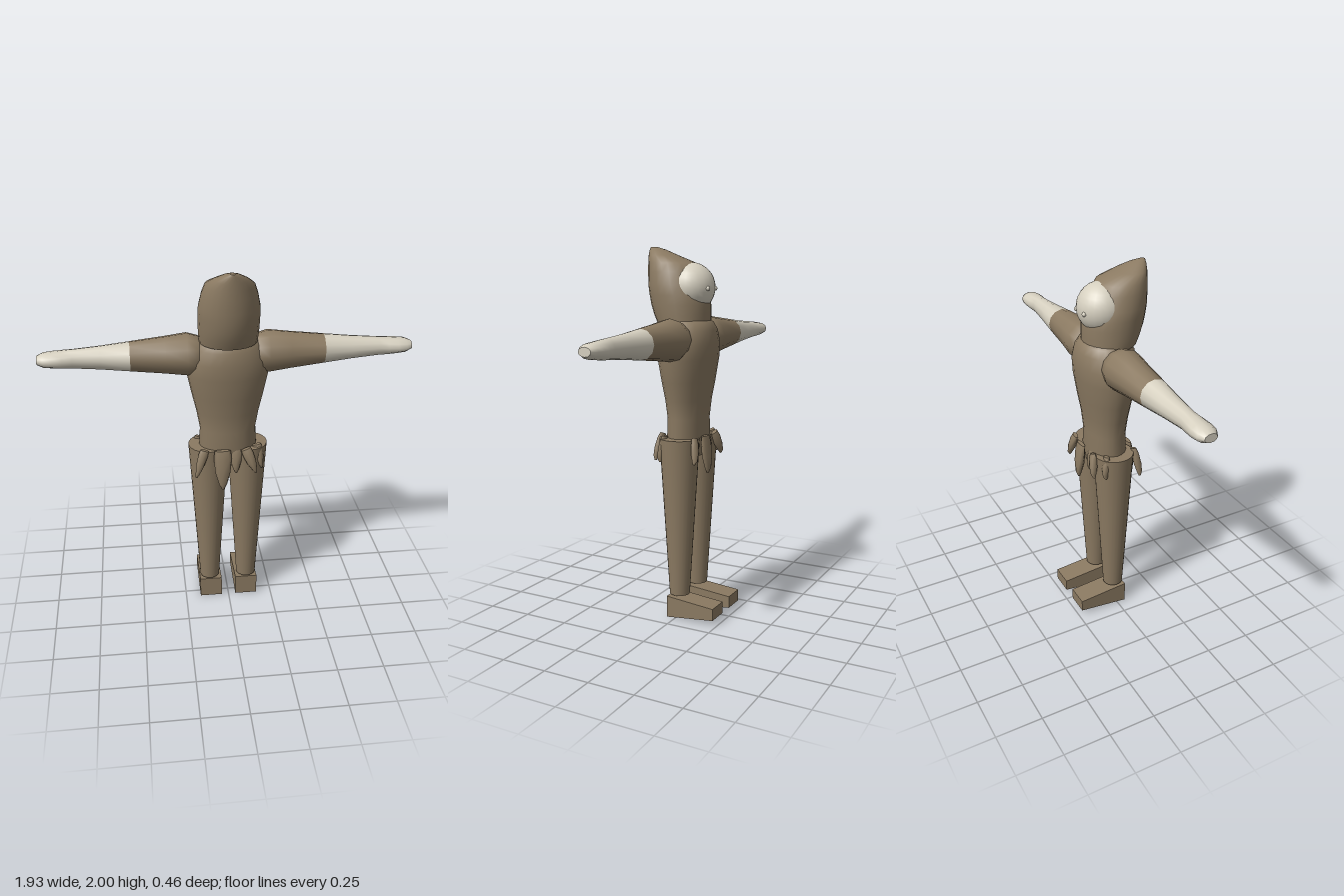
import * as THREE from 'three';

const brown = new THREE.MeshStandardMaterial({ color: 0x8b7a62 });
brown.name = 'brown cloth';
const pale = new THREE.MeshStandardMaterial({ color: 0xd6d0c0 });
pale.name = 'pale skin';

// Closed body through elliptical rings [y, half width x, half depth z, centre z]
function loft(rings, sides) {
  const pos = [], index = [];
  const addRing = ([y, rx, rz, cz = 0]) => {
    const start = pos.length / 3;
    for (let i = 0; i < sides; i++) {
      const a = (i / sides) * Math.PI * 2;
      pos.push(Math.cos(a) * rx, y, cz + Math.sin(a) * rz);
    }
    return start;
  };
  const starts = rings.map(addRing);
  for (let r = 0; r < rings.length - 1; r++) {
    for (let i = 0; i < sides; i++) {
      const j = (i + 1) % sides, b = starts[r], t = starts[r + 1];
      index.push(b + i, t + i, b + j, t + i, t + j, b + j);
    }
  }
  // End caps with their own corners, so the rims stay sharp
  [rings[0], rings[rings.length - 1]].forEach((ring, top) => {
    const s = addRing(ring), c = pos.length / 3;
    pos.push(0, ring[0], ring[3] || 0);
    for (let i = 0; i < sides; i++) {
      const j = (i + 1) % sides;
      index.push(c, s + (top ? j : i), s + (top ? i : j));
    }
  });
  const g = new THREE.BufferGeometry();
  g.setAttribute('position', new THREE.Float32BufferAttribute(pos, 3));
  g.setIndex(index);
  g.computeVertexNormals();
  return g;
}

export function createModel() {
  const model = new THREE.Group();
  const add = (name, geometry, material, x = 0, y = 0, z = 0, parent = model) => {
    const m = new THREE.Mesh(geometry, material);
    m.name = name;
    m.position.set(x, y, z);
    parent.add(m);
    return m;
  };

  // Torso
  add('torso', loft([
    [0.9, 0.14, 0.09], [1.0, 0.155, 0.105], [1.1, 0.15, 0.102], [1.2, 0.167, 0.112],
    [1.3, 0.19, 0.13], [1.42, 0.215, 0.148], [1.5, 0.215, 0.154], [1.57, 0.185, 0.145],
    [1.61, 0.155, 0.125], [1.63, 0.12, 0.1],
  ], 24), brown);

  // Hood: front and back edges at each height, leaning to a rear peak
  const hood = [
    [1.6, 0.15, -0.115, 0.165], [1.65, 0.154, -0.115, 0.188], [1.7, 0.156, -0.115, 0.205],
    [1.75, 0.157, -0.108, 0.215], [1.8, 0.155, -0.085, 0.222], [1.87, 0.14, -0.06, 0.226],
    [1.915, 0.124, -0.035, 0.228], [1.955, 0.088, 0.07, 0.229], [1.985, 0.045, 0.14, 0.23],
    [2.0, 0.014, 0.19, 0.228],
  ];
  add('hood', loft(hood.map(([y, w, f, b]) => [y, w, (b - f) / 2, (b + f) / 2]), 24), brown);

  // Face and eyes, looking toward -z
  add('face', new THREE.SphereGeometry(0.13, 24, 16), pale, 0, 1.79, -0.012);

  for (const s of [-1, 1]) {
    add('eye', new THREE.SphereGeometry(0.012, 10, 8), pale, s * 0.043, 1.785, -0.133);

    // Arm: sleeve, then bare forearm with a flattened hand
    const arm = new THREE.Group();
    arm.name = s > 0 ? 'leftArm' : 'rightArm';
    arm.position.y = 1.525;
    arm.rotation.z = -s * Math.PI / 2;
    model.add(arm);
    add('sleeve', loft([
      [0.12, 0.07, 0.07], [0.155, 0.095, 0.098], [0.21, 0.111, 0.112],
      [0.32, 0.097, 0.096], [0.5, 0.077, 0.078],
    ], 12), brown, 0, 0, 0, arm);
    add('forearm', loft([
      [0.5, 0.077, 0.078], [0.65, 0.061, 0.06], [0.79, 0.05, 0.046], [0.84, 0.046, 0.054],
      [0.89, 0.041, 0.059], [0.935, 0.036, 0.054], [0.967, 0.022, 0.034],
    ], 12), pale, 0, 0, 0, arm);

    // Leg
    add('leg', new THREE.CylinderGeometry(0.108, 0.055, 0.87, 24), brown, s * 0.106, 0.565, 0);

    // Foot: wedge, lower and thinner at the toe
    const foot = new THREE.BoxGeometry(0.125, 0.12, 0.28);
    const p = foot.attributes.position;
    for (let i = 0; i < p.count; i++) {
      if (p.getZ(i) < 0) p.setY(i, p.getY(i) > 0 ? 0.035 : -0.03);
    }
    foot.computeVertexNormals();
    add('foot', foot, brown, s * 0.103, 0.06, -0.09);
  }

  // Ragged waist strips: x, z, length, half width, tilt
  const strips = [
    [-0.04, 0.125, 0.23, 0.048, 0],
    [-0.135, 0.112, 0.16, 0.026, -0.3],
    [0.085, 0.118, 0.15, 0.03, 0.38],
    [0.035, 0.09, 0.15, 0.034, 0],
    [0.15, 0.07, 0.14, 0.026, 0.2],
  ];
  for (const turn of [0, Math.PI]) {
    const skirt = new THREE.Group();
    skirt.name = turn ? 'rearWaistStrips' : 'frontWaistStrips';
    skirt.rotation.y = turn;
    model.add(skirt);
    for (const [x, z, len, w, tilt] of strips) {
      const l = turn ? len * 0.88 : len;
      const strip = add('waistStrip', loft([
        [-l, 0.006, 0.006, 0.01], [-l * 0.85, w * 0.45, 0.016, 0.012],
        [-l * 0.55, w * 0.85, 0.022, 0.006], [-l * 0.2, w, 0.018], [0, w * 0.9, 0.012, -0.006],
      ], 8), brown, x, 1.012, z, skirt);
      strip.rotation.z = tilt;
    }
  }
  return model;
}
